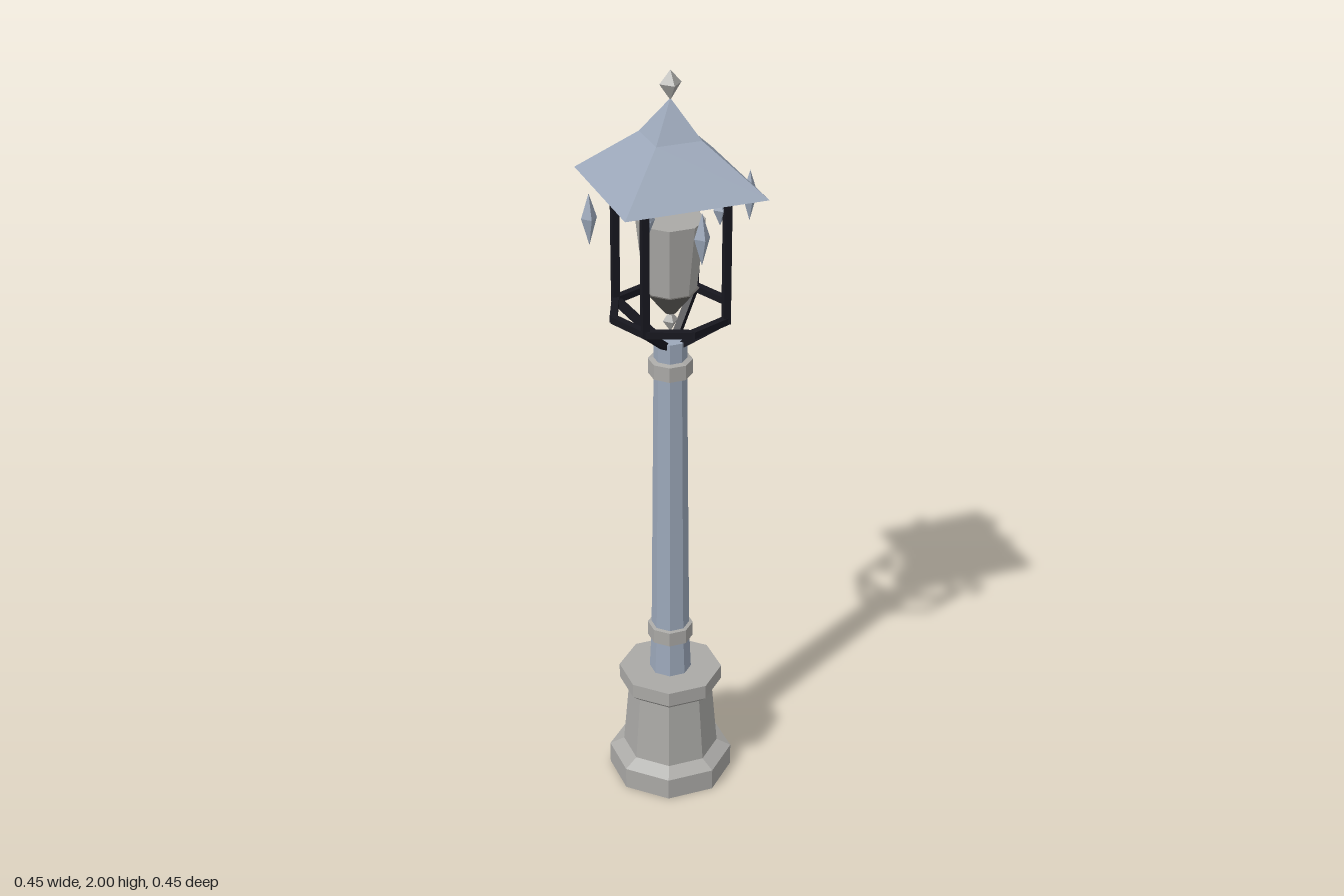
import * as THREE from 'three';

const stone = new THREE.MeshStandardMaterial({ name: 'stone', color: 0xaaa9a6, side: THREE.DoubleSide });
const blueMetal = new THREE.MeshStandardMaterial({ name: 'blueMetal', color: 0x9ca8ba, side: THREE.DoubleSide });
const iron = new THREE.MeshStandardMaterial({ name: 'iron', color: 0x17171f });
const darkStone = new THREE.MeshStandardMaterial({ name: 'darkStone', color: 0x62605d });

// Faceted mesh with one normal per face
function facet(geometry, material, name) {
  const flat = geometry.index ? geometry.toNonIndexed() : geometry;
  flat.computeVertexNormals();
  const mesh = new THREE.Mesh(flat, material);
  mesh.name = name;
  return mesh;
}

// Many-sided turned part with flat sides facing the axes; profile is [half width, y] from bottom to top
function turned(profile, sides, material, name) {
  const k = 1 / Math.cos(Math.PI / sides);
  const points = profile.map(([r, y]) => new THREE.Vector2(r * k, y));
  return facet(new THREE.LatheGeometry(points, sides, Math.PI / sides), material, name);
}

// Four-sided drop with its corners on the axes
function drop(x, z, r, bottom, middle, top, material, name) {
  const points = [[0, bottom], [r, middle], [0, top]].map(([a, b]) => new THREE.Vector2(a, b));
  const mesh = facet(new THREE.LatheGeometry(points, 4), material, name);
  mesh.position.set(x, 0, z);
  return mesh;
}

// Square iron bar between two points
function bar(a, b, width, name) {
  const length = a.distanceTo(b);
  const mesh = new THREE.Mesh(new THREE.BoxGeometry(width, width, length), iron);
  mesh.position.copy(a).lerp(b, 0.5);
  mesh.lookAt(b);
  mesh.name = name;
  return mesh;
}

export function createModel() {
  const model = new THREE.Group();
  model.name = 'streetLamp';

  // Octagonal pedestal, open underneath
  model.add(turned([
    [0.152, 0], [0.152, 0.06], [0.117, 0.08], [0.103, 0.262],
    [0.126, 0.283], [0.126, 0.323], [0, 0.323],
  ], 8, stone, 'pedestal'));

  // Pole and its two collars
  model.add(turned([
    [0.051, 0.32], [0.047, 0.42], [0.046, 0.46], [0.039, 1.22], [0.039, 1.302], [0, 1.302],
  ], 8, blueMetal, 'pole'));
  for (const [y, r, name] of [[0.418, 0.055, 'lowerCollar'], [1.202, 0.052, 'upperCollar']]) {
    model.add(turned([
      [0.04, y], [r, y + 0.004], [r, y + 0.044], [0.036, y + 0.048],
    ], 8, stone, name));
  }

  // Iron cradle: octagonal ring, sloping arms and corner posts
  const cradle = new THREE.Group();
  cradle.name = 'cradle';
  const ringPoint = (i, r, y) => new THREE.Vector3(
    r * Math.sin(i * Math.PI / 4), y, r * Math.cos(i * Math.PI / 4));
  for (let i = 0; i < 8; i++) {
    cradle.add(bar(ringPoint(i, 0.149, 1.38), ringPoint(i + 1, 0.149, 1.38), 0.018, 'ringBar'));
    if (i % 2) {
      cradle.add(bar(ringPoint(i, 0.035, 1.295), ringPoint(i, 0.15, 1.38), 0.018, 'arm'));
      cradle.add(bar(ringPoint(i, 0.149, 1.372), ringPoint(i, 0.149, 1.775), 0.018, 'post'));
    }
  }
  model.add(cradle);

  // Lantern body, its tapered foot and the small drop below
  model.add(turned([[0.06, 1.44], [0.079, 1.625], [0, 1.625]], 8, stone, 'lantern'));
  model.add(turned([[0, 1.37], [0.015, 1.375], [0.066, 1.44], [0, 1.44]], 8, darkStone, 'lanternFoot'));
  model.add(drop(0, 0, 0.02, 1.322, 1.352, 1.38, stone, 'lanternDrop'));

  // Flared square roof, open underneath, with a finial
  model.add(turned([[0.181, 1.715], [0.058, 1.836], [0, 1.93]], 4, blueMetal, 'roof'));
  model.add(drop(0, 0, 0.028, 1.925, 1.967, 2.0, stone, 'finial'));

  // Hanging drops around the eaves, and smaller ones beside the posts
  for (let i = 0; i < 4; i++) {
    const a = i * Math.PI / 2, b = a + Math.PI / 4;
    model.add(drop(0.207 * Math.sin(a), 0.207 * Math.cos(a), 0.02, 1.587, 1.657, 1.72, blueMetal, 'eavesDrop'));
    model.add(drop(0.13 * Math.sin(b), 0.13 * Math.cos(b), 0.018, 1.628, 1.67, 1.708, blueMetal, 'innerDrop'));
  }
  return model;
}
